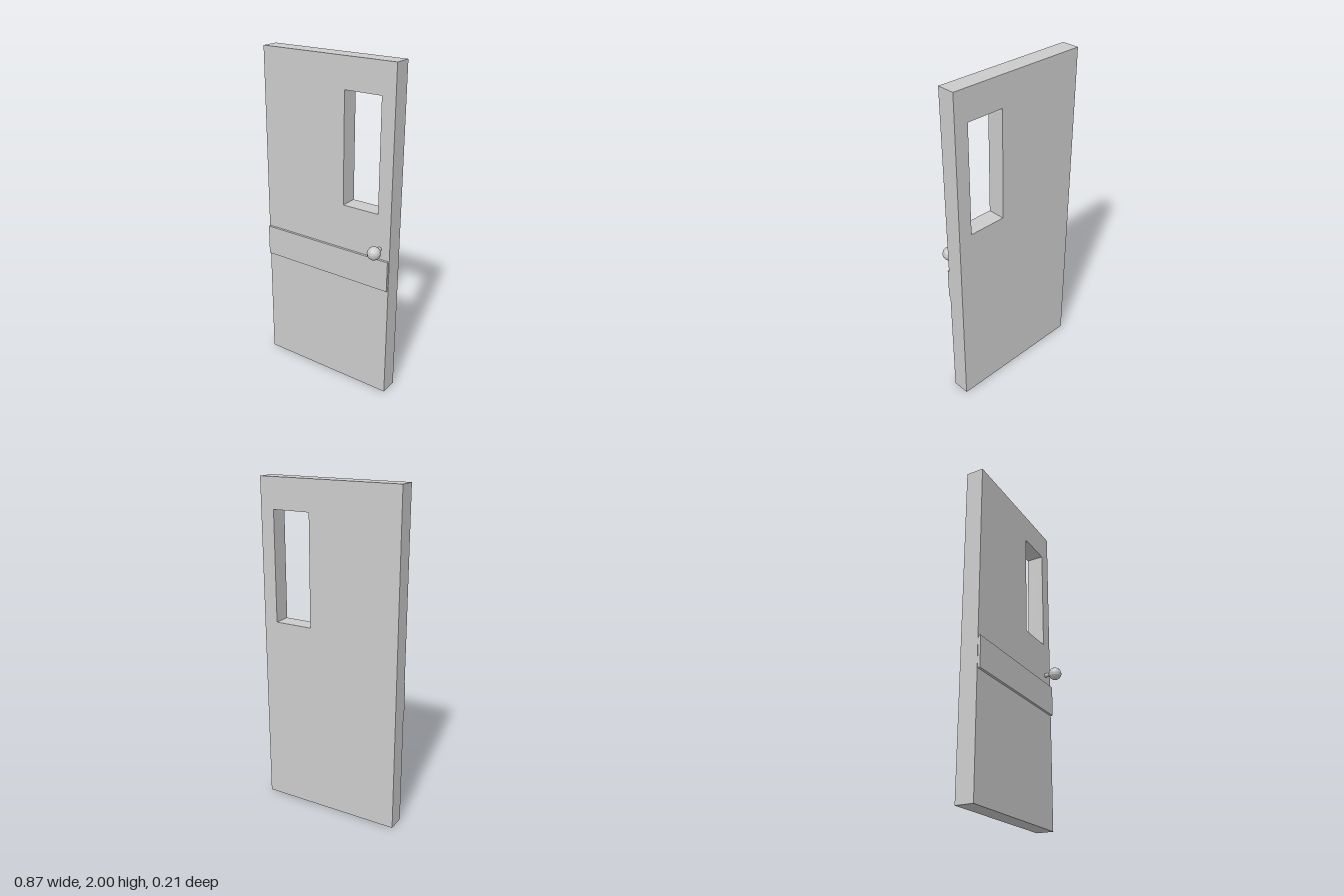
import * as THREE from 'three';

export function createModel() {
  const group = new THREE.Group();
  const material = new THREE.MeshStandardMaterial({ color: 0xcccccc, flatShading: true });

  const add = (name, geometry, x, y, z) => {
    const mesh = new THREE.Mesh(geometry, material);
    mesh.name = name;
    mesh.position.set(x, y, z);
    group.add(mesh);
    return mesh;
  };

  // Rectangle corners, in order, for outlines and holes
  const rect = (x0, y0, x1, y1) => [
    new THREE.Vector2(x0, y0), new THREE.Vector2(x1, y0),
    new THREE.Vector2(x1, y1), new THREE.Vector2(x0, y1),
  ];

  // Door slab with an open window
  const depth = 0.107;
  const outline = new THREE.Shape(rect(-0.437, 0, 0.437, 2));
  outline.holes.push(new THREE.Path(rect(0.12, 1.16, 0.353, 1.82).reverse()));
  add('doorPanel', new THREE.ExtrudeGeometry(outline, { depth, bevelEnabled: false }), 0, 0, -depth);

  // Push plate across the front
  add('pushPlate', new THREE.BoxGeometry(0.868, 0.186, 0.015), 0, 0.797, 0.0075);

  // Knob and its stem
  const stem = add('knobStem', new THREE.CylinderGeometry(0.013, 0.013, 0.04, 12), 0.371, 0.953, 0.02);
  stem.rotation.x = Math.PI / 2;
  add('knob', new THREE.SphereGeometry(0.04, 12, 8), 0.375, 0.953, 0.066);

  return group;
}
